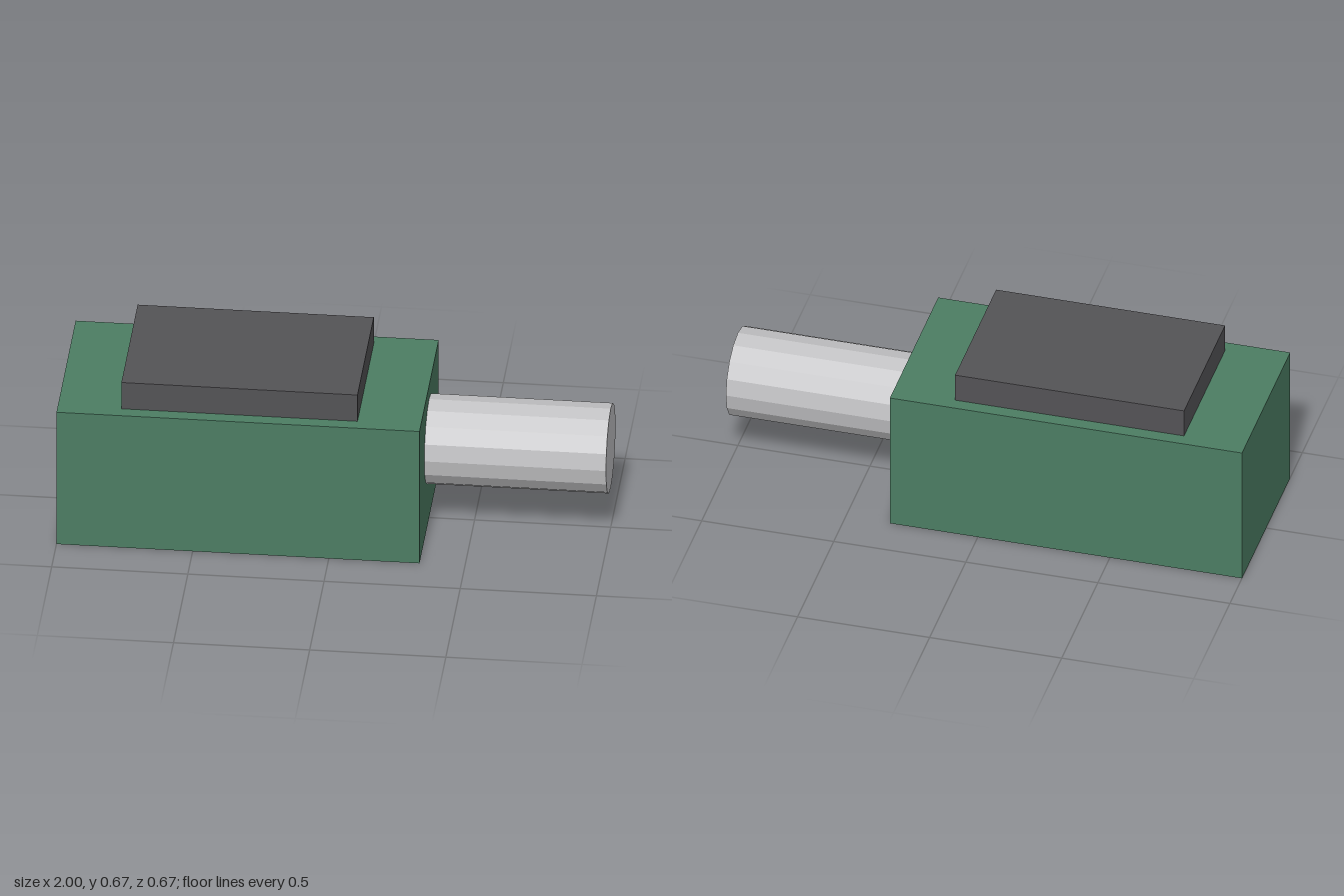
import * as THREE from 'three';

function material(name, color) {
  const m = new THREE.MeshStandardMaterial({ color, flatShading: true });
  m.name = name;
  return m;
}

export function createModel() {
  const group = new THREE.Group();
  group.name = 'model';

  const green = material('green', 0x4c7d63);
  const darkGrey = material('darkGrey', 0x545356);
  const silver = material('silver', 0xc4c4c6);

  const add = (name, geometry, mat, x, y) => {
    const mesh = new THREE.Mesh(geometry, mat);
    mesh.name = name;
    mesh.position.set(x, y, 0);
    group.add(mesh);
    return mesh;
  };

  // Main block
  add('body', new THREE.BoxGeometry(1.333, 0.557, 0.667), green, -0.3335, 0.2785);

  // Raised plate on top, sunk slightly into the block
  add('topPlate', new THREE.BoxGeometry(0.867, 0.131, 0.567), darkGrey, -0.3335, 0.6025);

  // Sixteen-sided shaft out of the left end, with a vertex pointing straight up
  const shaft = new THREE.CylinderGeometry(0.167, 0.167, 0.687, 16);
  shaft.rotateZ(-Math.PI / 2);
  add('shaft', shaft, silver, 0.6565, 0.334);

  return group;
}
